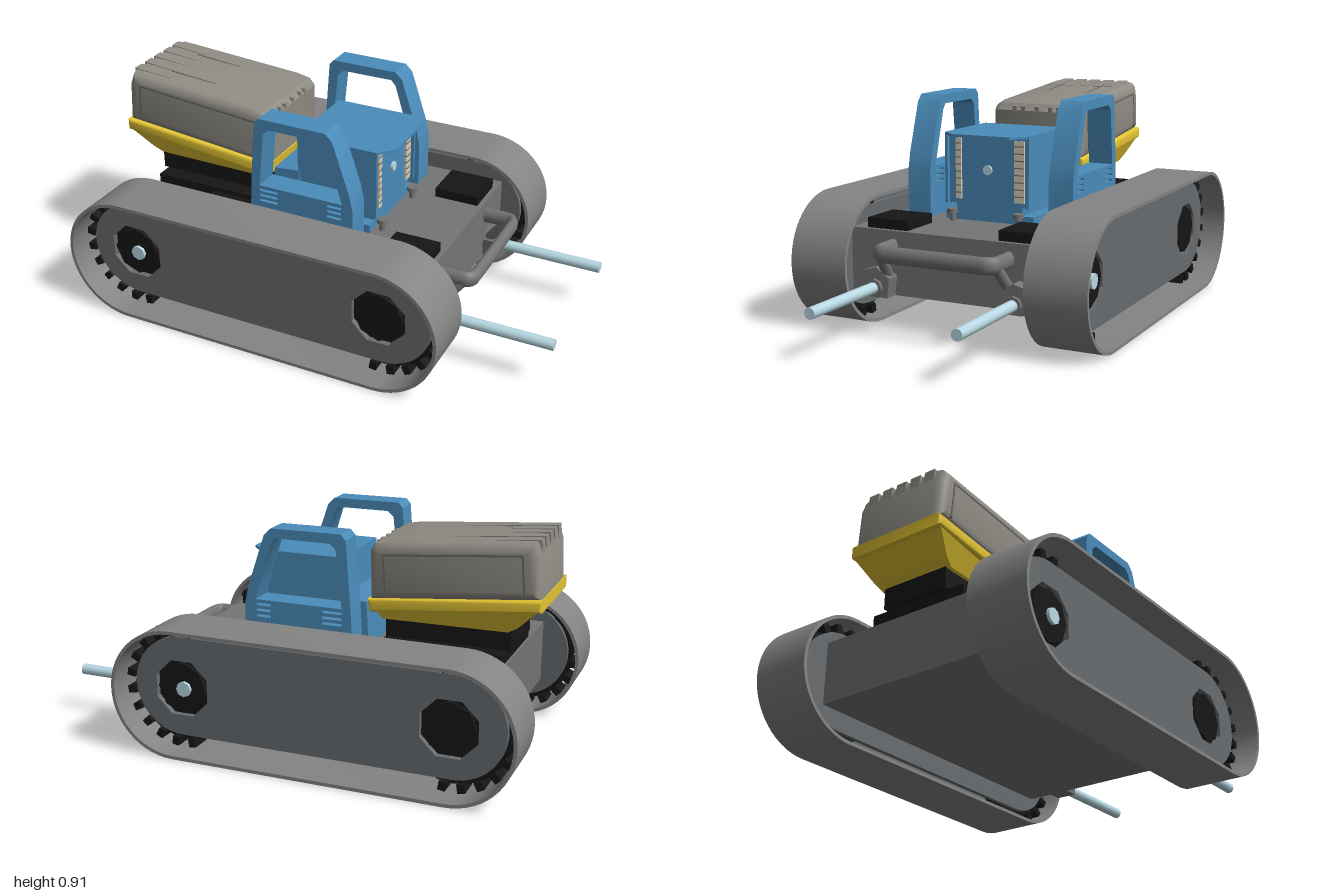
import * as THREE from 'three';
import { toCreasedNormals } from 'three/addons/utils/BufferGeometryUtils.js';

const mat = (color) => new THREE.MeshStandardMaterial({ color });
const M = {
  belt: mat(0x848484), plate: mat(0x686c6f), chassis: mat(0x757575), black: mat(0x161616),
  blue: mat(0x4a8cba), grey: mat(0x8f8c84), dark: mat(0x6c6a64), yellow: mat(0xe3c433),
  steel: mat(0xb9d9e4), cream: mat(0xd8d0bc),
};

export function createModel() {
  const root = new THREE.Group();
  root.name = 'trackedRobot';

  const add = (name, geo, m, parent = root) => {
    const mesh = new THREE.Mesh(geo, m);
    mesh.name = name;
    parent.add(mesh);
    return mesh;
  };
  // Box given by its limits on each axis
  const box = (name, m, x0, x1, y0, y1, z0, z1, parent) => {
    const b = add(name, new THREE.BoxGeometry(x1 - x0, y1 - y0, z1 - z0), m, parent);
    b.position.set((x0 + x1) / 2, (y0 + y1) / 2, (z0 + z1) / 2);
    return b;
  };
  // Cylinder along the named axis
  const cyl = (name, m, axis, r, len, sides, x, y, z, parent) => {
    const c = add(name, new THREE.CylinderGeometry(r, r, len, sides), m, parent);
    if (axis === 'x') c.rotation.z = Math.PI / 2;
    if (axis === 'z') c.rotation.x = Math.PI / 2;
    c.position.set(x, y, z);
  };
  const points = (pts) => pts.map(([x, y]) => new THREE.Vector2(x, y));
  const poly = (pts) => new THREE.Shape(points(pts));
  const stadium = (P, x0, x1, y, r) => {
    const p = new P();
    p.absarc(x1, y, r, -Math.PI / 2, Math.PI / 2, false);
    p.absarc(x0, y, r, Math.PI / 2, Math.PI * 1.5, false);
    p.closePath();
    return p;
  };
  const extrude = (shape, z0, z1, bevel = 0) => {
    const g = new THREE.ExtrudeGeometry(shape, {
      depth: z1 - z0 - 2 * bevel, curveSegments: 14, bevelEnabled: bevel > 0,
      bevelSize: bevel, bevelThickness: bevel, bevelOffset: -bevel, bevelSegments: 3,
    });
    g.translate(0, 0, z0 + bevel);
    return toCreasedNormals(g, 0.6);
  };

  // Track units, the second one turned half round about the track centre
  const RX = -0.735, FX = 0.385, WY = 0.267, TZ = 0.5125;
  const makeTrack = (name) => {
    const t = new THREE.Group();
    t.name = name;
    const ring = stadium(THREE.Shape, RX, FX, WY, 0.265);
    ring.holes.push(stadium(THREE.Path, RX, FX, WY, 0.251));
    add('belt', extrude(ring, -0.127, 0.127), M.belt, t);
    // Side plates set deep inside the belt, the outer one with hub openings
    add('innerPlate', extrude(stadium(THREE.Shape, RX, FX, 0.275, 0.205), -0.065, -0.045), M.plate, t);
    const outer = stadium(THREE.Shape, RX, FX, 0.275, 0.205);
    for (const x of [RX, FX - 0.015]) {
      const rim = [];
      for (let i = 0; i < 8; i++) {
        const a = (i + 0.5) * Math.PI / 4;
        rim.push([x + 0.122 * Math.cos(a), WY + 0.122 * Math.sin(a)]);
      }
      outer.holes.push(new THREE.Path(points(rim)));
    }
    add('outerPlate', extrude(outer, 0.005, 0.03), M.plate, t);
    [[RX, 1, RX], [FX, -1, FX - 0.015]].forEach(([x, s, hubX]) => {
      cyl('sprocket', M.black, 'z', 0.222, 0.049, 24, x, WY, -0.02, t);
      cyl('hub', M.black, 'z', 0.105, 0.03, 8, hubX, WY, 0.012, t);
      // Drive lugs on the belt bend
      for (let i = 0; i < 12; i++) {
        const a = s * Math.PI / 2 + (i - 0.5) * Math.PI / 10;
        const lug = add('lug', new THREE.BoxGeometry(0.036, 0.03, 0.09), M.black, t);
        lug.position.set(x + 0.233 * Math.cos(a), WY + 0.233 * Math.sin(a), -0.018);
        lug.rotation.z = a;
      }
    });
    cyl('axlePin', M.steel, 'z', 0.032, 0.03, 8, RX + 0.012, WY, 0.025, t);
    root.add(t);
    return t;
  };
  makeTrack('leftTrack').position.z = TZ;
  const other = makeTrack('rightTrack');
  other.rotation.y = Math.PI;
  other.position.set(RX + FX, 0, -TZ);

  // Chassis
  box('chassis', M.chassis, -0.83, 0.5, 0.15, 0.41, -0.45, 0.45);

  for (const s of [1, -1]) {
    const zBox = (name, m, x0, x1, y0, y1, a, b) =>
      box(name, m, x0, x1, y0, y1, Math.min(s * a, s * b), Math.max(s * a, s * b));
    // Motor covers, deck bolts
    zBox('rearMotorCover', M.black, -0.54, -0.32, 0.4, 0.45, 0.235, 0.385);
    zBox('frontMotorCover', M.black, 0.29, 0.48, 0.4, 0.45, 0.2, 0.385);
    cyl('deckBolt', M.chassis, 'y', 0.013, 0.06, 10, 0.205, 0.43, s * 0.15);
    cyl('deckBoltHead', M.chassis, 'y', 0.022, 0.018, 10, 0.205, 0.452, s * 0.15);
    // Front rods with their sockets and brackets
    cyl('frontRod', M.steel, 'x', 0.023, 0.52, 12, 0.74, 0.19, s * 0.305);
    cyl('rodSocket', M.chassis, 'x', 0.036, 0.08, 8, 0.535, 0.19, s * 0.305);
    const bracket = poly([[0.25, 0.15], [0.34, 0.15], [0.375, 0.2], [0.37, 0.25], [0.3, 0.27], [0.24, 0.23]]);
    const br = add('rodBracket', extrude(bracket, -0.03, 0.03), M.chassis);
    br.rotation.y = -s * Math.PI / 2;
    br.position.x = 0.53;

    // Side frame of the cab: open window above louvres
    const frame = poly([[-0.28, 0.41], [0.18, 0.41], [0.18, 0.6], [0.165, 0.67], [0.095, 0.88], [0.065, 0.91],
      [-0.225, 0.912], [-0.245, 0.89], [-0.265, 0.65]]);
    const cut = (pts) => frame.holes.push(new THREE.Path(points(pts)));
    cut([[-0.23, 0.62], [-0.205, 0.85], [-0.18, 0.872], [0.045, 0.872], [0.065, 0.85], [0.135, 0.62]]);
    for (const y of [0.55, 0.573, 0.596]) {
      cut([[-0.23, y], [-0.23, y + 0.01], [-0.15, y + 0.01], [-0.15, y]]);
      cut([[0.07, y], [0.07, y + 0.01], [0.13, y + 0.01], [0.13, y]]);
    }
    add('cabSideFrame', extrude(frame, -0.0525, 0.0525), M.blue).position.z = s * 0.3225;

    // Light strips and corner rails on the cab front
    const [la, lb] = s > 0 ? [0.12, 0.145] : [0.12, 0.165];
    zBox('lightStrip', M.cream, 0.17, 0.187, 0.5, 0.75, la, lb);
    for (let i = 0; i < 8; i++)
      zBox('lightDivider', M.dark, 0.17, 0.189, 0.524 + i * 0.029, 0.528 + i * 0.029, la, lb);
    zBox('cabCornerRail', M.blue, 0.17, 0.195, 0.48, 0.77, 0.178, 0.19);
  }

  // Cab
  box('cabBase', M.blue, -0.26, 0.17, 0.41, 0.445, -0.2, 0.2);
  box('cabPlinth', M.blue, -0.26, 0.17, 0.44, 0.49, -0.15, 0.15);
  box('cabBody', M.blue, -0.16, 0.178, 0.48, 0.765, -0.185, 0.185);
  add('cabRearStep', extrude(poly([[-0.275, 0.45], [-0.15, 0.45], [-0.15, 0.615], [-0.265, 0.605]]), -0.2, 0.19), M.blue);
  const roof = add('cabRoof', extrude(poly([[-0.16, -0.19], [0.19, -0.19], [0.25, -0.13], [0.25, 0.13], [0.19, 0.19], [-0.16, 0.19]]), 0, 0.01), M.blue);
  roof.rotation.x = -Math.PI / 2;
  roof.position.y = 0.763;
  cyl('cabSensor', M.steel, 'x', 0.02, 0.02, 12, 0.178, 0.625, 0);

  // Bumper bar: a flat hoop with a taller than wide section, and sloping struts
  const half = [[0.49, 0.255], [0.58, 0.255], [0.615, 0.25], [0.632, 0.225], [0.634, 0.19]];
  const path = [...half, ...half.slice().reverse().map(([x, z]) => [x, -z])];
  const curve = new THREE.CatmullRomCurve3(path.map(([x, z]) => new THREE.Vector3(x, 0, z)), false, 'centripetal');
  const bar = new THREE.TubeGeometry(curve, 60, 0.023, 10).scale(1, 1.5, 1);
  add('bumperBar', bar, M.chassis).position.y = 0.345;
  for (const s of [1, -1]) {
    const strut = new THREE.LineCurve3(new THREE.Vector3(0.51, 0.22, s * 0.27), new THREE.Vector3(0.6, 0.335, s * 0.253));
    add('bumperStrut', new THREE.TubeGeometry(strut, 1, 0.022, 10), M.chassis);
  }

  // Power unit: low black base, yellow tray tapering downwards, grey tilted cover
  box('powerBase', M.black, -0.82, -0.33, 0.4, 0.46, -0.22, 0.22);
  box('powerBaseTop', M.black, -0.84, -0.33, 0.46, 0.55, -0.15, 0.15);
  add('trayRim', extrude(poly([[-0.965, 0.69], [-0.965, 0.642], [-0.283, 0.572], [-0.275, 0.625]]), -0.22, 0.22, 0.012), M.yellow);
  const trayShape = poly([[-0.955, 0.65], [-0.87, 0.565], [-0.83, 0.54], [-0.32, 0.535], [-0.29, 0.58]]);
  const tray = new THREE.ExtrudeGeometry(trayShape, { depth: 2, bevelEnabled: false }).translate(0, 0, -1);
  const p = tray.attributes.position;
  for (let i = 0; i < p.count; i++)
    p.setZ(i, p.getZ(i) * THREE.MathUtils.mapLinear(p.getY(i), 0.535, 0.65, 0.165, 0.215));
  tray.computeVertexNormals();
  add('trayBottom', tray, M.yellow);
  add('powerCover', extrude(poly([[-0.96, 0.685], [-0.28, 0.615], [-0.275, 0.82], [-0.3, 0.85], [-0.36, 0.862],
    [-0.88, 0.902], [-0.93, 0.905], [-0.95, 0.85]]), -0.216, 0.216, 0.04), M.grey);
  const tilt = new THREE.Group();
  tilt.name = 'powerCoverDetails';
  tilt.position.set(-0.62, 0.765, 0);
  tilt.rotation.z = -0.09;
  root.add(tilt);
  // End ribs, top seams, side panel outlines
  for (const z of [-0.14, -0.07, 0, 0.07, 0.14])
    box('rearRib', M.grey, -0.333, -0.16, -0.06, 0.116, z - 0.024, z + 0.024, tilt);
  for (const z of [-0.105, -0.065, 0, 0.065, 0.105])
    box('frontRib', M.grey, 0.22, 0.338, -0.08, 0.105, z - 0.01, z + 0.01, tilt);
  for (const z of [-0.1, 0.1])
    box('topSeam', M.dark, -0.19, 0.2, 0.1, 0.117, z - 0.004, z + 0.004, tilt);
  for (const s of [1, -1]) {
    const z = s * 0.214;
    box('sidePanelTop', M.dark, -0.27, 0.28, 0.062, 0.07, z - 0.004, z + 0.004, tilt);
    box('sidePanelBack', M.dark, -0.275, -0.267, -0.09, 0.07, z - 0.004, z + 0.004, tilt);
    box('sidePanelFront', M.dark, 0.275, 0.283, -0.09, 0.07, z - 0.004, z + 0.004, tilt);
  }
  return root;
}
